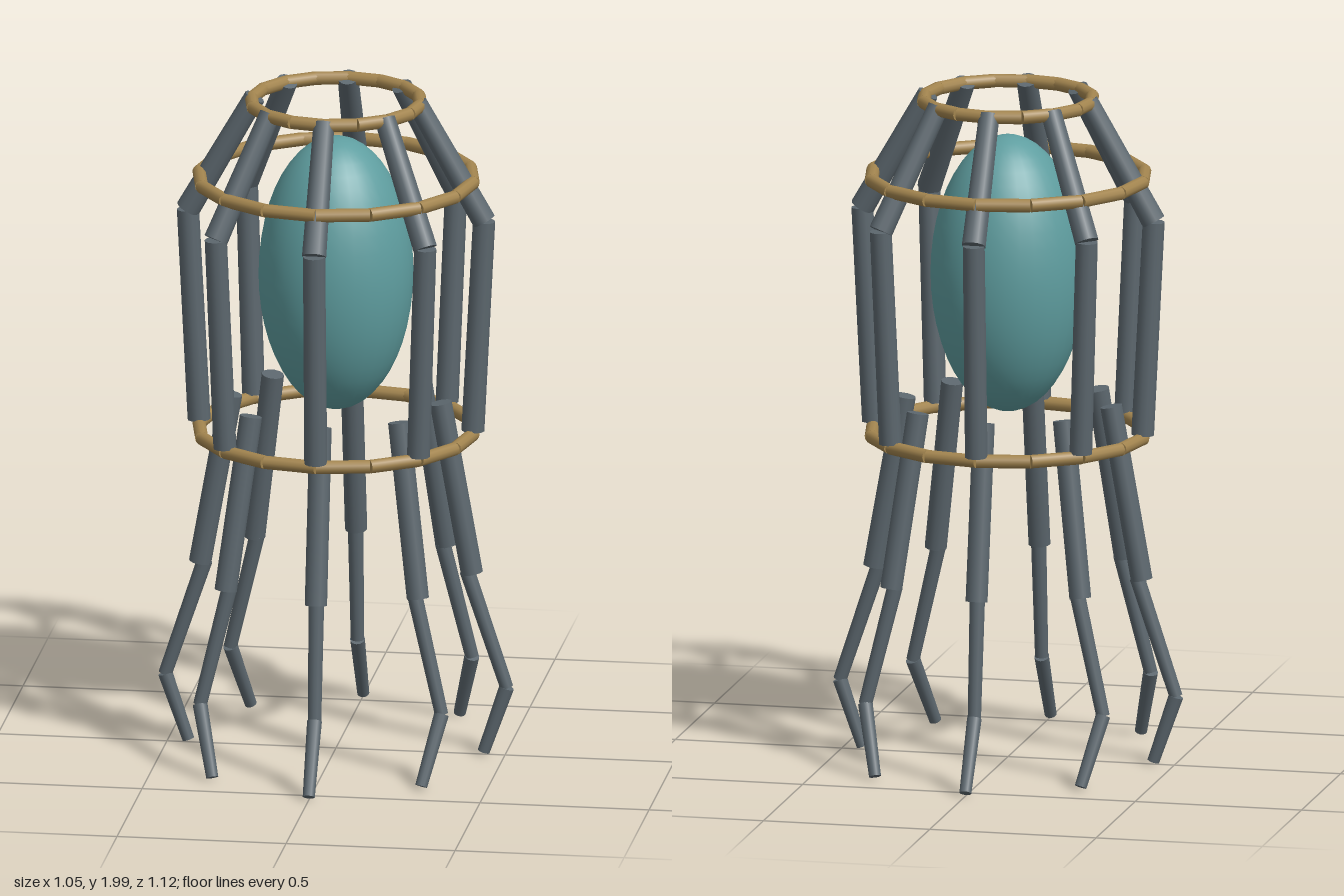
import * as THREE from 'three';

const slate = new THREE.MeshStandardMaterial({ name: 'slate metal', color: 0x5c676e });
const brass = new THREE.MeshStandardMaterial({ name: 'brass', color: 0xa3854f });
const teal = new THREE.MeshStandardMaterial({ name: 'teal core', color: 0x5f9ea0 });

const UP = new THREE.Vector3(0, 1, 0);

// Straight rod from a to b, with a radius at each end
function rod(name, a, b, ra, rb, material, sides = 12) {
  const dir = b.clone().sub(a);
  const mesh = new THREE.Mesh(new THREE.CylinderGeometry(rb, ra, dir.length(), sides), material);
  mesh.name = name;
  mesh.position.copy(a).add(b).multiplyScalar(0.5);
  mesh.quaternion.setFromUnitVectors(UP, dir.normalize());
  return mesh;
}

// Hoop made of straight rods
function hoop(name, radius, y, count = 16) {
  const group = new THREE.Group();
  group.name = name;
  const corner = (i) => {
    const t = (i / count) * Math.PI * 2;
    return new THREE.Vector3(Math.cos(t) * radius, y, Math.sin(t) * radius);
  };
  for (let i = 0; i < count; i++) {
    group.add(rod('hoopSegment', corner(i), corner(i + 1), 0.02, 0.02, brass, 10));
  }
  return group;
}

// One limb: reach along x, reach along z, height at each end, then radii
const LIMB = [
  ['shoulderStrut', [0.24, 0.24, 1.98], [0.438, 0.438, 1.63], 0.031, 0.036],
  ['cageBar', [0.438, 0.438, 1.63], [0.405, 0.405, 0.99], 0.033, 0.034],
  ['thigh', [0.31, 0.31, 1.07], [0.402, 0.402, 0.555], 0.033, 0.033],
  ['shin', [0.388, 0.392, 0.56], [0.505, 0.43, 0.21], 0.023, 0.02],
  ['foot', [0.505, 0.43, 0.21], [0.437, 0.545, 0.012], 0.022, 0.018],
];

export function createModel() {
  const model = new THREE.Group();
  model.name = 'cagedPodWalker';

  // Egg-shaped core
  const core = new THREE.Mesh(new THREE.SphereGeometry(1, 32, 24), teal);
  core.name = 'core';
  core.scale.set(0.227, 0.413, 0.227);
  core.position.y = 1.455;
  model.add(core);

  // Cage hoops
  model.add(hoop('topHoop', 0.25, 1.975), hoop('upperHoop', 0.405, 1.745), hoop('lowerHoop', 0.405, 0.977));

  // Eight limbs around the core
  for (let i = 0; i < 8; i++) {
    const t = (i / 8) * Math.PI * 2;
    const at = ([rx, rz, y]) => new THREE.Vector3(Math.cos(t) * rx, y, Math.sin(t) * rz);
    const limb = new THREE.Group();
    limb.name = 'limb' + (i + 1);
    for (const [name, a, b, ra, rb] of LIMB) limb.add(rod(name, at(a), at(b), ra, rb, slate));
    model.add(limb);
  }
  return model;
}
